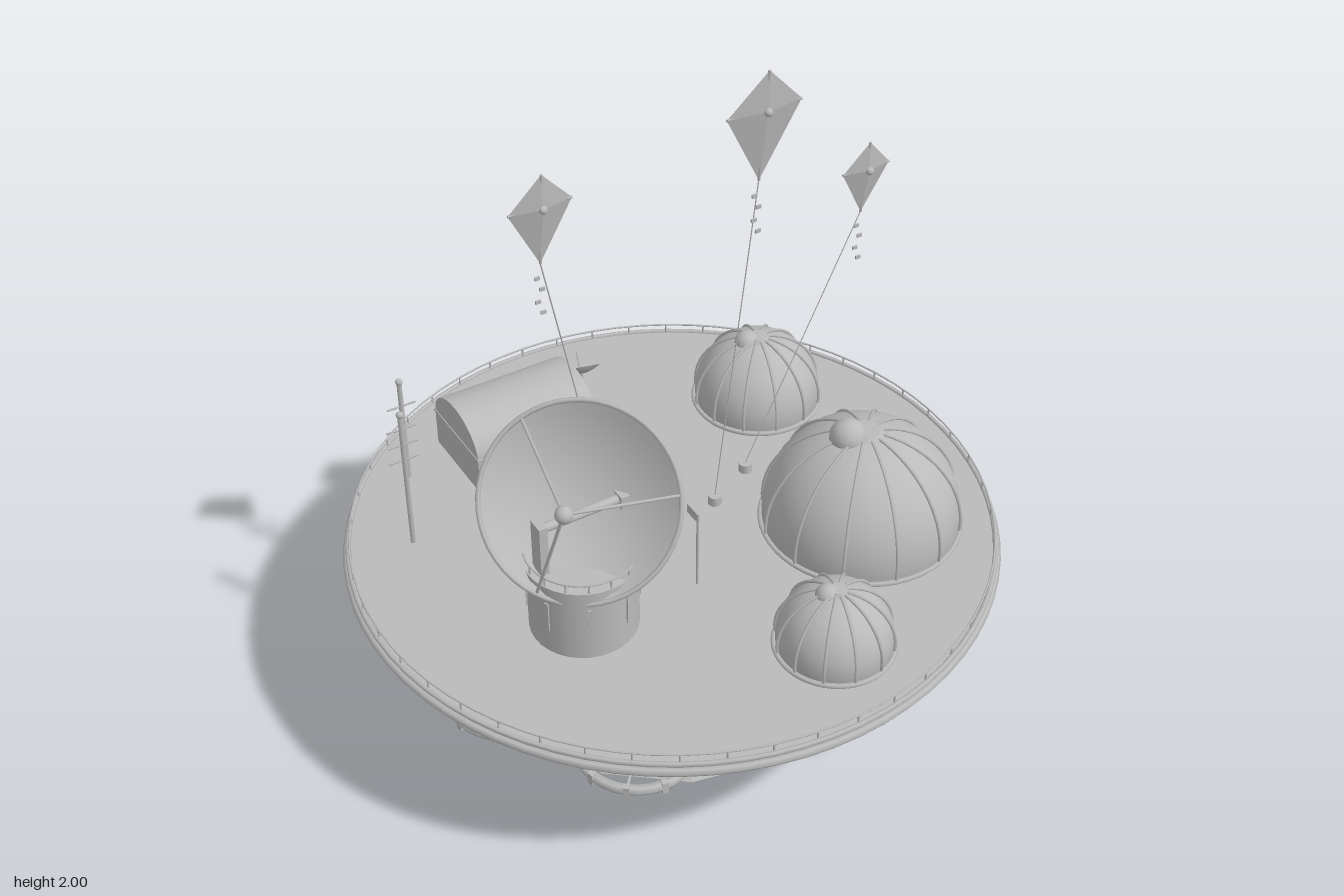
import * as THREE from 'three';

const V = (x, y, z) => new THREE.Vector3(x, y, z);
const UP = V(0, 1, 0);
const DECK = 0.53;

export function createModel() {
  const root = new THREE.Group();
  const grey = new THREE.MeshStandardMaterial({ color: 0xbababa, side: THREE.DoubleSide });
  grey.name = 'pale grey';

  const group = (name, parent = root) => {
    const g = new THREE.Group();
    g.name = name;
    parent.add(g);
    return g;
  };
  const add = (parent, name, geo, x = 0, y = 0, z = 0) => {
    const m = new THREE.Mesh(geo, grey);
    m.name = name;
    m.position.set(x, y, z);
    parent.add(m);
    return m;
  };
  const flat = (geo) => {
    const g = geo.toNonIndexed();
    g.computeVertexNormals();
    return g;
  };
  // round rod between two points
  const rod = (parent, name, a, b, r, sides = 6) => {
    const d = b.clone().sub(a);
    const m = add(parent, name, new THREE.CylinderGeometry(r, r, d.length(), sides));
    m.position.copy(a).addScaledVector(d, 0.5);
    m.quaternion.setFromUnitVectors(UP, d.normalize());
    return m;
  };
  // horizontal ring
  const ring = (parent, name, R, r, x, y, z, seg = 48) => {
    const m = add(parent, name, new THREE.TorusGeometry(R, r, 6, seg), x, y, z);
    m.rotation.x = Math.PI / 2;
    return m;
  };
  const ball = (parent, name, r, x, y, z) =>
    add(parent, name, new THREE.SphereGeometry(r, 14, 10), x, y, z);
  const polar = (i, n, r) => [Math.cos(i / n * 2 * Math.PI) * r, Math.sin(i / n * 2 * Math.PI) * r];

  // Faceted base cone and foot
  const base = group('base');
  add(base, 'baseCone', flat(new THREE.CylinderGeometry(0.2, 0.595, 0.44, 14)), 0, 0.27, 0);
  add(base, 'foot', new THREE.CylinderGeometry(0.08, 0.24, 0.05, 40), 0, 0.025, 0);

  // Round deck with rim and railing
  const deck = group('deck');
  add(deck, 'deckPlate', new THREE.CylinderGeometry(0.95, 0.95, 0.03, 72), 0, DECK - 0.015, 0);
  add(deck, 'underPlate', flat(new THREE.CylinderGeometry(0.955, 0.93, 0.025, 24)), 0, 0.49, 0);
  ring(deck, 'rim', 0.953, 0.014, 0, 0.505, 0, 72);
  ring(deck, 'upperRim', 0.95, 0.008, 0, 0.53, 0, 72);
  ring(deck, 'handrail', 0.945, 0.003, 0, 0.56, 0, 72);
  for (let i = 0; i < 48; i++) {
    const [x, z] = polar(i, 48, 0.945);
    rod(deck, 'railPost', V(x, DECK, z), V(x, 0.56, z), 0.003, 5);
  }

  // Domes: shell above deck, rib hoops passing below it, cap near the top
  const dome = (x, z, R, capR, cx, cy, cz) => {
    const g = group('dome'), y = 0.565;
    g.position.set(x, y, z);
    const cut = Math.PI / 2 + Math.asin(0.035 / R);
    add(g, 'domeShell', new THREE.SphereGeometry(R - 0.003, 36, 14, 0, 2 * Math.PI, 0, cut));
    for (let i = 0; i < 6; i++) {
      add(g, 'rib', new THREE.TorusGeometry(R, 0.005, 5, 48)).rotation.y = (i + 0.5) * Math.PI / 6;
    }
    ring(g, 'baseRing', R, 0.008, 0, DECK - y + 0.006, 0);
    add(g, 'crown', new THREE.CylinderGeometry(R * 0.14, R * 0.18, 0.012, 16), 0, R, 0);
    ball(g, 'cap', capR, cx - x, cy - y, cz - z);
  };
  dome(0.48, 0.28, 0.295, 0.056, 0.432, 0.845, 0.26);
  dome(0.54, -0.37, 0.2, 0.04, 0.508, 0.745, -0.385);
  dome(0.115, 0.67, 0.167, 0.034, 0.09, 0.715, 0.657);

  // Wheel pods hanging under the deck
  for (const deg of [15, 66, 130, 168, 219, 271, 322]) {
    const a = deg * Math.PI / 180, g = group('wheelPod');
    g.position.set(Math.cos(a) * 0.645, 0.26, Math.sin(a) * 0.645);
    g.rotation.y = -a;
    ring(g, 'wheelRing', 0.165, 0.016, 0, 0, 0, 32);
    add(g, 'hub', new THREE.CylinderGeometry(0.03, 0.03, 0.025, 12));
    add(g, 'hubBox', new THREE.BoxGeometry(0.035, 0.05, 0.035));
    for (let i = 0; i < 4; i++) {
      const [x, z] = polar(i, 4, 1), [sx, sz] = polar(i + 0.5, 4, 1);
      rod(g, 'spoke', V(0, 0, 0), V(x * 0.16, 0, z * 0.16), 0.005);
      rod(g, 'strut', V(sx * 0.125, 0.01, sz * 0.125), V(sx * 0.06, 0.2, sz * 0.06), 0.008, 8);
    }
    for (let i = 0; i < 10; i++) {
      const [x, z] = polar(i, 10, 0.17);
      add(g, 'stud', new THREE.BoxGeometry(0.018, 0.038, 0.018), x, 0, z).rotation.y = -i * Math.PI / 5;
    }
  }

  // Turret carrying the large dish
  const turret = group('turret');
  turret.position.set(-0.425, 0, 0.23);
  add(turret, 'turretWall', new THREE.CylinderGeometry(0.155, 0.155, 0.235, 32), 0, 0.65, 0);
  add(turret, 'turretTop', new THREE.CylinderGeometry(0.165, 0.165, 0.015, 32), 0, 0.77, 0);
  ring(turret, 'turretRail', 0.16, 0.003, 0, 0.805, 0);
  for (let i = 0; i < 16; i++) {
    const [x, z] = polar(i, 16, 1);
    rod(turret, 'turretPost', V(x * 0.16, 0.77, z * 0.16), V(x * 0.16, 0.805, z * 0.16), 0.003, 5);
    if (i % 2) {
      add(turret, 'slot', new THREE.BoxGeometry(0.008, 0.1, 0.012), x * 0.155, 0.66, z * 0.155)
        .rotation.y = -i * Math.PI / 8;
    }
  }
  for (const x of [-0.125, 0.125]) {
    add(turret, 'yokePost', new THREE.BoxGeometry(0.025, 0.17, 0.05), x, 0.855, 0);
  }
  rod(turret, 'axle', V(-0.135, 0.92, 0), V(0.135, 0.92, 0), 0.014, 12);

  // Parabolic dish: local +y is the facing direction
  const parabola = (R, depth) => {
    const pts = [];
    for (let i = 0; i <= 10; i++) pts.push(new THREE.Vector2(R * i / 10, depth * ((i / 10) ** 2 - 1)));
    return new THREE.LatheGeometry(pts, 40);
  };
  const dish = group('largeDish');
  dish.position.set(-0.425, 0.955, 0.225);
  dish.quaternion.setFromUnitVectors(UP, V(-0.53, 0.55, 0.65).normalize());
  add(dish, 'dishBowl', parabola(0.275, 0.085));
  ring(dish, 'dishRim', 0.275, 0.007, 0, 0, 0);
  ball(dish, 'feed', 0.025, 0, 0.24, 0);
  for (let i = 0; i < 3; i++) {
    const [x, z] = polar(i + 0.25, 3, 0.27);
    rod(dish, 'feedArm', V(x, 0, z), V(0, 0.24, 0), 0.005);
  }

  // Small dish
  const small = group('smallDish');
  small.position.set(0.08, 0.61, -0.7);
  small.quaternion.setFromUnitVectors(UP, V(0.15, 0.78, -0.6).normalize());
  add(small, 'smallBowl', parabola(0.066, 0.02));
  rod(small, 'smallFeed', V(0, -0.02, 0), V(0, 0.05, 0), 0.003);
  rod(root, 'smallDishPost', V(0.08, DECK, -0.7), V(0.08, 0.595, -0.695), 0.008);

  // Hut with arched roof, fan and tanks
  const hut = group('hut');
  const arch = new THREE.Shape();
  arch.moveTo(-0.145, DECK);
  arch.lineTo(0.145, DECK);
  arch.lineTo(0.145, 0.655);
  arch.absellipse(0, 0.655, 0.145, 0.105, 0, Math.PI, false);
  arch.closePath();
  const body = add(hut, 'hutBody', new THREE.ExtrudeGeometry(arch,
    { depth: 0.405, bevelEnabled: false, curveSegments: 16 }), -0.43, 0, -0.545);
  body.rotation.y = Math.PI / 2;
  add(hut, 'eave', new THREE.BoxGeometry(0.41, 0.008, 0.3), -0.2275, 0.655, -0.545);
  const fan = group('fan', hut);
  fan.position.set(-0.23, 0.605, -0.395);
  add(fan, 'fanRing', new THREE.TorusGeometry(0.042, 0.006, 6, 24));
  ball(fan, 'fanHub', 0.012, 0, 0, 0);
  for (let i = 0; i < 6; i++) {
    const [x, y] = polar(i, 6, 0.042);
    rod(fan, 'blade', V(0, 0, 0), V(x, y, 0), 0.005);
  }
  for (let i = 0; i < 5; i++) {
    const x = -0.385 + i * 0.0765;
    add(hut, 'tank', new THREE.CylinderGeometry(0.012, 0.012, 0.03, 12), x, 0.545, -0.745);
    ball(hut, 'tankTop', 0.02, x, 0.57, -0.745);
  }

  // Antenna masts with crossbars
  const mast = (x, z, top, bars) => {
    const g = group('mast');
    rod(g, 'mastPole', V(x, DECK, z), V(x, top, z), 0.008, 8);
    ball(g, 'mastTip', 0.011, x, top, z);
    for (const y of bars) rod(g, 'crossbar', V(x - 0.045, y, z), V(x + 0.045, y, z), 0.003);
  };
  mast(-0.695, -0.31, 1.0, [0.84, 0.895, 0.95]);
  mast(-0.58, -0.585, 0.89, [0.8]);

  // Flag
  const flag = group('flag');
  rod(flag, 'flagPole', V(-0.08, DECK, 0.27), V(-0.08, 0.79, 0.27), 0.004);
  add(flag, 'flagCloth', new THREE.BoxGeometry(0.004, 0.03, 0.055), -0.08, 0.775, 0.243);

  // Kites: shallow four-sided sails with cross spars, tail and tether
  const kite = (x, z, top, mid, bottom, w, ax, az) => {
    const g = group('kite');
    const lean = (top - bottom) * 0.05;
    const T = V(x, top, z + lean), B = V(x, bottom, z - lean), C = V(x, mid, z + 0.018);
    const L = V(x - w, mid, z), R = V(x + w, mid, z);
    const tris = [C, T, L, C, L, B, C, B, R, C, R, T];
    const sail = new THREE.BufferGeometry().setFromPoints(tris);
    sail.computeVertexNormals();
    add(g, 'sail', sail);
    rod(g, 'crossSpar', L, R, 0.004);
    rod(g, 'longSpar', T, B, 0.004);
    ball(g, 'knot', 0.012, x, mid, z + 0.018);
    for (let i = 0; i < 4; i++) {
      add(g, 'tailBow', new THREE.BoxGeometry(0.016, 0.011, 0.005),
        x + (i % 2 ? 0.002 : -0.012), bottom - 0.045 - i * 0.038, z - lean);
    }
    rod(g, 'tether', B, V(ax, 0.56, az), 0.002, 4);
    add(g, 'winch', new THREE.CylinderGeometry(0.021, 0.021, 0.03, 14), ax, DECK + 0.015, az);
  };
  kite(-0.31, -0.15, 1.745, 1.64, 1.455, 0.095, -0.08, -0.315);
  kite(0.23, 0.078, 2.0, 1.88, 1.66, 0.115, 0.15, 0.0);
  kite(0.69, -0.078, 1.57, 1.48, 1.33, 0.08, 0.31, -0.08);

  return root;
}
